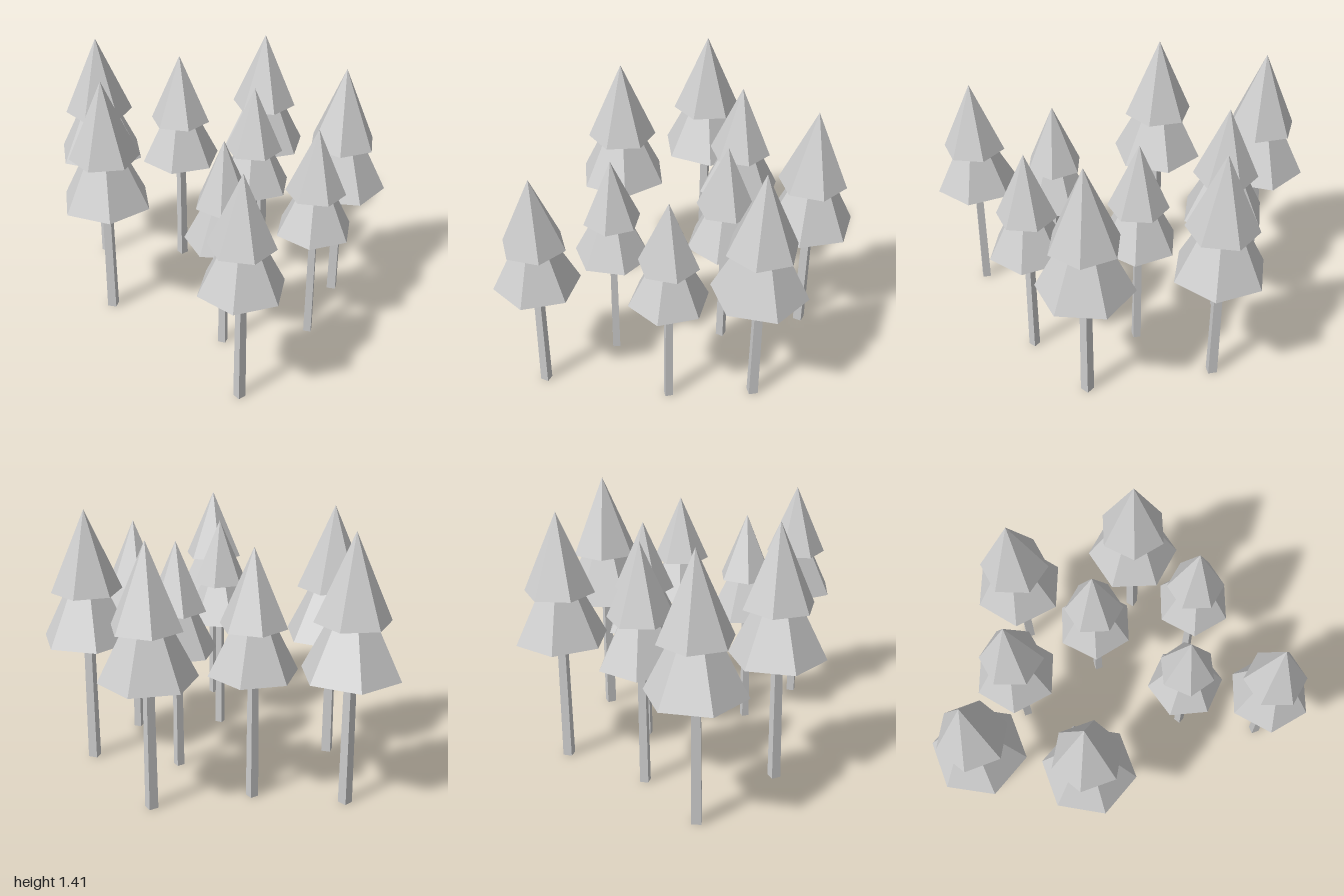
import * as THREE from 'three';

// x, z, foliage radius, foliage turn (degrees), trunk turn (degrees)
const TREES = [
  [-0.704, -0.546, 0.256, 14, 8],
  [-0.574, 0.034, 0.254, 13, 36],
  [-0.228, -0.553, 0.23, -8, -2],
  [0.254, -0.755, 0.248, -9, -4],
  [0.214, -0.27, 0.213, -5, -3],
  [0.70, -0.243, 0.252, 25, 34],
  [0.553, 0.188, 0.21, -6.5, 36],
  [0.085, 0.323, 0.206, 28, 28],
  [0.20, 0.77, 0.225, -7, -2],
];

export function createModel() {
  const grey = new THREE.MeshStandardMaterial({ color: 0xcccccc });
  grey.name = 'palegrey';
  grey.flatShading = true;
  const model = new THREE.Group();
  model.name = 'pineGrove';

  // Adds a mesh standing on the given height
  const add = (parent, name, geometry, base, height, turn) => {
    const mesh = new THREE.Mesh(geometry, grey);
    mesh.name = name;
    mesh.position.y = base + height / 2;
    mesh.rotation.y = THREE.MathUtils.degToRad(turn);
    parent.add(mesh);
  };

  TREES.forEach(([x, z, r, turn, trunkTurn], i) => {
    const tree = new THREE.Group();
    tree.name = `tree${i + 1}`;
    tree.position.set(x, 0, z);

    // Square tapered trunk reaching into the foliage
    const skirt = 0.5 + 0.78 * r;
    const trunkHeight = skirt + 0.02;
    add(tree, 'trunk', new THREE.CylinderGeometry(0.12 * r, 0.14 * r, trunkHeight, 4),
      0, trunkHeight, trunkTurn);

    // Two stacked six-sided cones, the upper turned by half a side
    add(tree, 'lowerFoliage', new THREE.ConeGeometry(r, 2 * r, 6), skirt, 2 * r, turn);
    add(tree, 'upperFoliage', new THREE.ConeGeometry(0.75 * r, 1.72 * r, 6),
      0.5 + 1.84 * r, 1.72 * r, turn + 30);

    model.add(tree);
  });
  return model;
}
